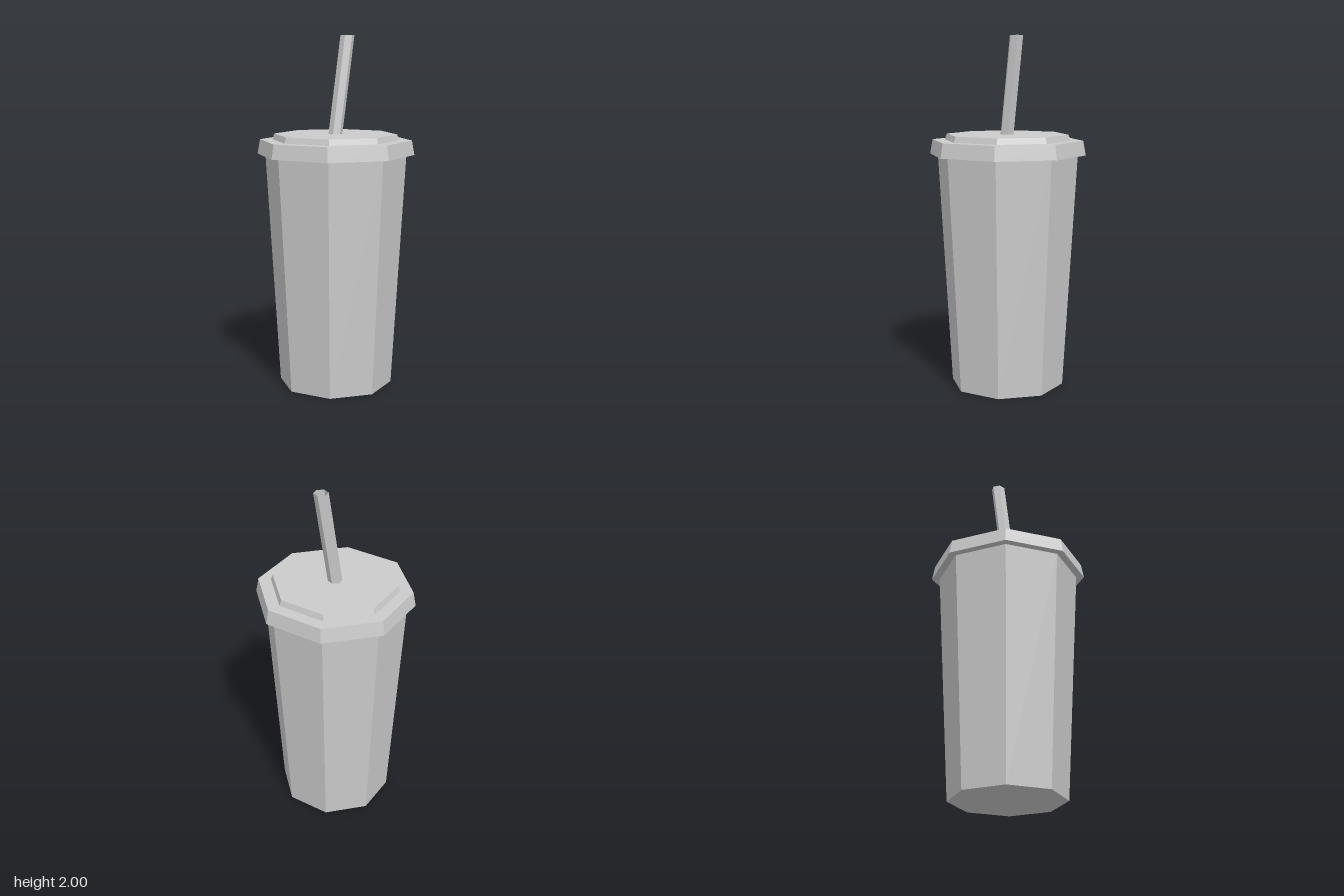
import * as THREE from 'three';

const material = new THREE.MeshStandardMaterial({ color: 0xcccccc, flatShading: true });
const openMaterial = new THREE.MeshStandardMaterial({ color: 0xcccccc, flatShading: true, side: THREE.DoubleSide });

// Eight-sided tapered solid between two heights, corners on the x and z axes
function octagon(name, bottomRadius, topRadius, y0, y1) {
  const geometry = new THREE.CylinderGeometry(topRadius, bottomRadius, y1 - y0, 8);
  geometry.translate(0, (y0 + y1) / 2, 0);
  const mesh = new THREE.Mesh(geometry, material);
  mesh.name = name;
  return mesh;
}

// Open six-sided tube, sheared sideways so its ends stay level
function createStraw() {
  const y0 = 1.45, y1 = 2, lean = 0.088;
  const geometry = new THREE.CylinderGeometry(0.04, 0.04, y1 - y0, 6, 1, true);
  geometry.translate(0, (y1 - y0) / 2, 0);
  const shear = new THREE.Matrix4().set(
    1, lean / (y1 - y0), 0, 0,
    0, 1, 0, y0,
    0, 0, 1, 0,
    0, 0, 0, 1);
  geometry.applyMatrix4(shear);
  geometry.computeVertexNormals();
  const mesh = new THREE.Mesh(geometry, openMaterial);
  mesh.name = 'straw';
  return mesh;
}

export function createModel() {
  const group = new THREE.Group();
  group.name = 'drinkCup';
  group.add(
    octagon('cupBody', 0.325, 0.402, 0, 1.335),
    octagon('lidRim', 0.447, 0.432, 1.335, 1.417),
    octagon('lidTop', 0.36, 0.349, 1.417, 1.45),
    createStraw());
  return group;
}
